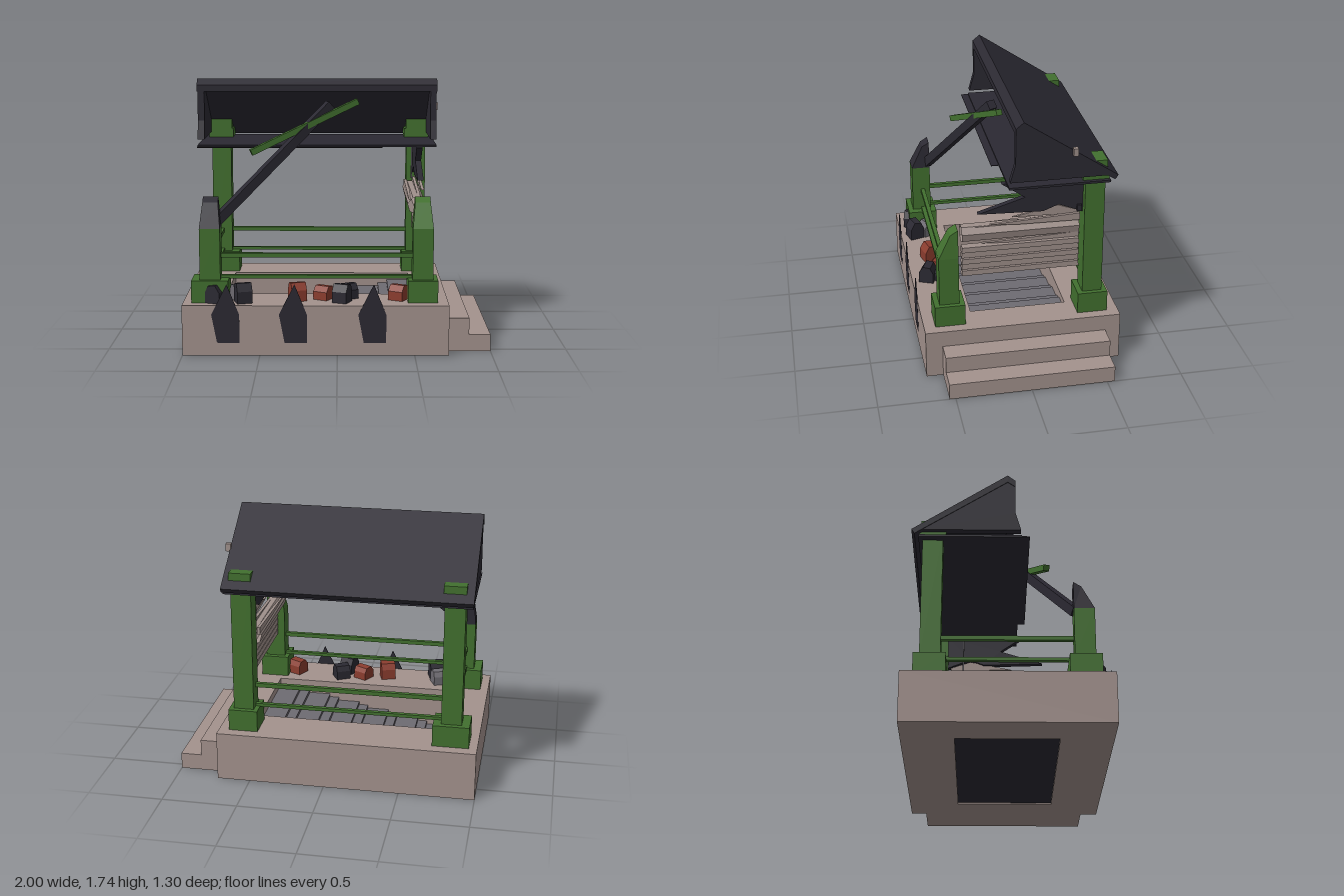
import * as THREE from 'three';

const mat = (color) => new THREE.MeshStandardMaterial({ color, flatShading: true, side: THREE.DoubleSide });

export function createModel() {
  const root = new THREE.Group();
  const green = mat(0x42702f), dark = mat(0x2b2932), stone = mat(0xa3928d);
  const red = mat(0x8a3c2e), slate = mat(0x6e6b72), wood = mat(0x9f908b);

  const add = (name, geo, m) => {
    const mesh = new THREE.Mesh(geo, m);
    mesh.name = name;
    root.add(mesh);
    return mesh;
  };
  // Box given by its limits
  const box = (name, m, x0, x1, y0, y1, z0, z1) => {
    const mesh = add(name, new THREE.BoxGeometry(x1 - x0, y1 - y0, z1 - z0), m);
    mesh.position.set((x0 + x1) / 2, (y0 + y1) / 2, (z0 + z1) / 2);
    return mesh;
  };
  // Outline in (z, y) extruded along x
  const slab = (name, m, pts, x0, x1) => {
    const shape = new THREE.Shape(pts.map(([z, y]) => new THREE.Vector2(-z, y)));
    const geo = new THREE.ExtrudeGeometry(shape, { depth: x1 - x0, bevelEnabled: false });
    geo.rotateY(Math.PI / 2).translate(x0, 0, 0);
    return add(name, geo, m);
  };
  // Square bar between two points
  const bar = (name, m, a, b, w, h = w) => {
    const p = new THREE.Vector3(...a), q = new THREE.Vector3(...b);
    const mesh = add(name, new THREE.BoxGeometry(w, h, p.distanceTo(q)), m);
    mesh.position.copy(p).add(q).multiplyScalar(0.5);
    mesh.lookAt(q);
    return mesh;
  };
  const rect = (P, x0, x1, y0, y1) => new P(
    [[x0, y0], [x1, y0], [x1, y1], [x0, y1]].map(([x, y]) => new THREE.Vector2(x, y)));

  // Plinth with stairwell opening
  const plan = rect(THREE.Shape, -1, 0.72, -0.65, 0.65);
  plan.holes.push(rect(THREE.Path, -0.73, 0.5, -0.32, 0.32));
  add('plinth', new THREE.ExtrudeGeometry(plan, { depth: 0.33, bevelEnabled: false }).rotateX(-Math.PI / 2), stone);

  // Entrance steps
  box('lowerStep', stone, 0.72, 1, 0, 0.11, -0.55, 0.54);
  box('upperStep', stone, 0.72, 0.86, 0.11, 0.22, -0.55, 0.54);

  // Stairs going down inside the opening
  box('wellFloor', dark, -0.73, 0.5, 0.01, 0.03, -0.32, 0.32);
  for (let i = 0; i < 6; i++) {
    const x1 = 0.5 - i * 0.215, y = 0.28 - i * 0.045;
    box('stairTread', slate, x1 - 0.15, x1, 0.03, y, -0.32, 0.32);
    if (i < 5) box('stairTread', slate, x1 - 0.215, x1 - 0.15, 0.03, y - 0.022, -0.32, 0.32);
  }

  // Posts on footings; the front pair is snapped off
  const brokenTop = [[0.54, 0.81], [0.46, 0.97], [0.41, 1], [0.41, 0.81]];
  for (const x of [-0.825, 0.555]) {
    const w = x < 0 ? 0.12 : 0.097;
    for (const z of [-0.475, 0.475]) {
      box('postFooting', green, x - w, x + w, 0.33, 0.475, z - 0.1, z + 0.1);
    }
    box('backPost', green, x - 0.067, x + 0.067, 0.475, 1.36, -0.54, -0.41);
    box('postCollar', green, x - 0.085, x + 0.085, 1.3, 1.36, -0.56, -0.39);
    box('postCap', green, x - 0.07, x + 0.075, 1.36, 1.425, -0.55, -0.4);
    box('frontPost', green, x - 0.067, x + 0.067, 0.475, 0.81, 0.41, 0.54);
    const top = slab('brokenPostTop', x < 0 ? dark : green, brokenTop, x - 0.067, x + 0.067);
    // Narrow the splintered end
    const p = top.geometry.attributes.position;
    for (let i = 0; i < p.count; i++) {
      if (p.getY(i) > 0.9) p.setX(i, x + (p.getX(i) - x) * 0.75);
    }
    top.geometry.computeVertexNormals();
  }

  // Railings on three sides
  for (const [y, h] of [[0.625, 0.028], [0.482, 0.022]]) {
    for (const z of [-0.465, 0.465]) bar('longRail', green, [-0.84, y, z], [0.55, y, z], 0.028, h);
    bar('sideRail', green, [-0.828, y, -0.45], [-0.828, y, 0.45], 0.028, h);
  }

  // Half roof with gable ends and ceiling
  slab('roofSlope', dark, [[0.05, 1.7], [0, 1.74], [-0.61, 1.335], [-0.59, 1.305], [0, 1.69], [0.05, 1.655]], -0.945, 0.67);
  const gable = [[0, 1.73], [0.05, 1.69], [0.05, 1.46], [0.085, 1.335], [-0.56, 1.335]];
  slab('leftGable', dark, gable, 0.625, 0.665);
  slab('rightGable', dark, gable, -0.94, -0.895);
  box('ceiling', dark, -0.94, 0.665, 1.285, 1.3, -0.565, 0.09);
  box('ceilingEdge', dark, -0.94, 0.3, 1.287, 1.291, 0.09, 0.14);
  box('gableBracket', wood, 0.665, 0.7, 1.5, 1.55, -0.34, -0.31);

  // Fallen beams
  bar('charredBeam', dark, [-0.81, 0.82, 0.43], [-0.05, 1.57, 0.07], 0.06);
  bar('fallenBeam', green, [-0.57, 1.27, 0.26], [0.135, 1.59, 0.055], 0.04);

  // Torn sign board above the entrance
  slab('tornBoard', dark, [[0.12, 1.285], [-0.41, 1.285], [-0.41, 1.045], [-0.25, 1.11],
    [-0.15, 1.07], [0.275, 1.085], [-0.03, 1.18]], 0.53, 0.57);

  // Shutter slats below a split roller
  for (let i = 0; i < 5; i++) {
    const y = 0.655 + i * 0.042;
    slab('shutterSlat', wood, [[0.385, y], [0.38, y + 0.037], [-0.385, y + 0.037], [-0.39, y]], 0.53, i % 2 ? 0.575 : 0.585);
  }
  const roller = add('shutterRoller', new THREE.CylinderGeometry(0.06, 0.06, 0.77, 7, 1, true).rotateX(Math.PI / 2), wood);
  roller.position.set(0.52, 0.935, -0.005);
  for (const [x, y, tip, t] of [[0.55, 0.87, 0.25, 0.025], [0.48, 0.97, 0.36, 0.03], [0.54, 0.985, 0.3, 0.03], [0.57, 1.01, 0.2, 0.03]]) {
    slab('shutterSplinter', wood, [[tip, y], [-0.39, y + t], [-0.39, y - 0.02], [0, y - 0.015]], x - 0.01, x + 0.01);
  }
  slab('shutterSplinter', wood, [[0.05, 1.04], [-0.25, 1.1], [-0.39, 1.05], [-0.39, 1.03]], 0.545, 0.56);
  bar('hangingChain', slate, [0.52, 1.02, -0.3], [0.52, 1.285, -0.3], 0.01);
  box('chainTag', dark, 0.545, 0.585, 1.055, 1.1, -0.4, -0.37);

  // Pointed shards leaning on the front
  const shard = [[-0.81, 0.27], [-0.775, 0.085], [-0.63, 0.085], [-0.63, 0.27], [-0.71, 0.47]];
  for (const dx of [0, 0.435, 0.945]) {
    const s = new THREE.Shape(shard.map(([x, y]) => new THREE.Vector2(x + dx, y)));
    add('shard', new THREE.ExtrudeGeometry(s, { depth: 0.005, bevelEnabled: false }).translate(0, 0, 0.646), dark);
  }

  // Rubble: small gabled blocks
  const rubble = [[-0.64, 0.455, 0.1, 0.4, slate], [-0.61, 0.55, 0.13, 0.3, dark], [-0.79, 0.55, 0.12, 1.2, dark],
    [-0.26, 0.49, 0.12, 0.3, red], [-0.09, 0.455, 0.09, -0.5, red], [0.07, 0.43, 0.1, 0.5, dark],
    [0.03, 0.54, 0.12, -0.4, dark], [0.4, 0.47, 0.1, -0.5, red]];
  for (const [x, z, h, turn, m] of rubble) {
    const block = slab('rubble', m, [[0.05, 0], [0.05, h * 0.6], [0.02, h], [-0.03, h * 0.95], [-0.05, h * 0.6], [-0.05, 0]], -0.05, 0.05);
    block.position.set(x, 0.33, z);
    block.rotation.y = turn;
  }
  return root;
}
